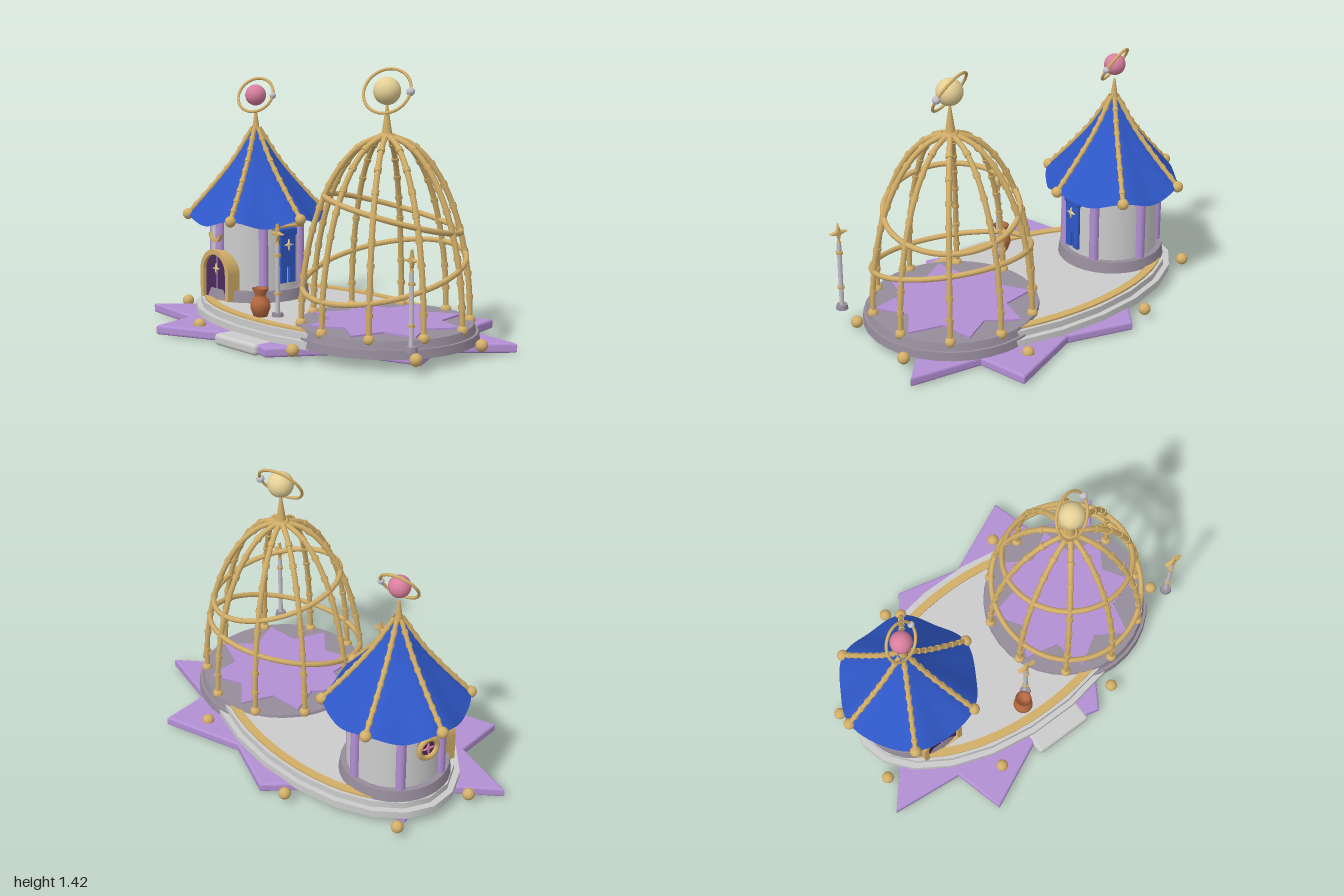
import * as THREE from 'three';
import { RoundedBoxGeometry } from 'three/addons/geometries/RoundedBoxGeometry.js';

const mat = (color) => new THREE.MeshStandardMaterial({ color, side: THREE.DoubleSide });
const M = {
  grey: mat(0xcccccc), stone: mat(0x968c9b), lilac: mat(0xb38fd4), gold: mat(0xd2ae68),
  cream: mat(0xe5d096), pink: mat(0xd97f9e), blue: mat(0x2f58c8), plum: mat(0x4b2b5c),
  clay: mat(0xb5683f), silver: mat(0xc4c0c8),
};
const V = (x, y, z) => new THREE.Vector3(x, y, z);

function add(parent, name, geo, material, x = 0, y = 0, z = 0) {
  const m = new THREE.Mesh(geo, material);
  m.name = name;
  m.position.set(x, y, z);
  parent.add(m);
  return m;
}
function group(parent, name, x = 0, y = 0, z = 0) {
  const g = new THREE.Group();
  g.name = name;
  g.position.set(x, y, z);
  parent.add(g);
  return g;
}
const ball = (r) => new THREE.SphereGeometry(r, 20, 14);
const cyl = (rt, rb, h, n = 32) => new THREE.CylinderGeometry(rt, rb, h, n);

// Star outline; the point at angle t is mapped by place(cos, sin)
function starShape(n, inner, place, turn = 0) {
  const pts = [];
  for (let i = 0; i < n * 2; i++) {
    const t = turn + (i * Math.PI) / n, r = i % 2 ? inner : 1;
    pts.push(new THREE.Vector2(...place(r * Math.cos(t), r * Math.sin(t))));
  }
  return new THREE.Shape(pts);
}
const plate = (shape, depth, bevel = 0) => new THREE.ExtrudeGeometry(shape, {
  depth: depth - 2 * bevel, bevelEnabled: bevel > 0, bevelSize: bevel, bevelThickness: bevel,
  bevelOffset: -bevel, bevelSegments: 3, curveSegments: 24,
}).translate(0, 0, bevel);
const sparkle = (r, depth) =>
  plate(starShape(4, 0.3, (c, s) => [c * r, s * r], 0), depth, depth * 0.3).translate(0, 0, -depth / 2);

// Bamboo-like rod: a tube with raised nodes along it
function rod(parent, name, curve, r, nodes) {
  const g = group(parent, name);
  add(g, 'cane', new THREE.TubeGeometry(curve, 28, r, 8), M.gold);
  for (let i = 1; i <= nodes; i++) {
    const t = i / (nodes + 1);
    const n = add(g, 'node', cyl(r * 1.3, r * 1.3, r * 1.6, 10), M.gold);
    n.position.copy(curve.getPointAt(t));
    n.quaternion.setFromUnitVectors(V(0, 1, 0), curve.getTangentAt(t));
  }
}

// Spire with an orb, a tilted orbit ring and a small moon
function finial(parent, spireY, spireH, orbY, orbR, ringR, orbMat, spireR) {
  const g = group(parent, 'finial');
  add(g, 'spire', cyl(0.005, spireR, spireH, 16), M.gold, 0, spireY + spireH / 2);
  add(g, 'orb', ball(orbR), orbMat, 0, orbY);
  const a = V(0.115, 0, -0.055).normalize();
  const b = V(-0.029, 0.108, -0.06).normalize();
  const ring = add(g, 'orbitRing', new THREE.TorusGeometry(ringR, 0.008, 8, 40), M.gold, 0, orbY);
  ring.quaternion.setFromRotationMatrix(new THREE.Matrix4().makeBasis(a, b, a.clone().cross(b)));
  add(g, 'moon', ball(orbR * 0.31), M.silver, a.x * ringR, orbY, a.z * ringR);
}

function buildBase(root) {
  const g = group(root, 'base', -0.012);
  // Skewed eight-pointed star spanned by two axes
  const star = starShape(8, 0.73, (c, s) => [0.988 * c - 0.243 * s, 0.405 * c + 0.61 * s]);
  add(g, 'starPlate', plate(star, 0.05, 0.012).rotateX(-Math.PI / 2), M.lilac, 0, 0.006);
  const tier = (name, a, b, y0, y1) => {
    const t = add(g, name, cyl(1, 1, y1 - y0, 22).rotateY(Math.PI / 2), M.grey, 0, (y0 + y1) / 2);
    t.scale.set(a, 1, b);
  };
  tier('lowerTier', 0.92, 0.515, 0.05, 0.09);
  tier('upperTier', 0.885, 0.485, 0.09, 0.125);
  const band = new THREE.Shape().absellipse(0, 0, 0.865, 0.465, 0, Math.PI * 2);
  band.holes.push(new THREE.Path().absellipse(0, 0, 0.815, 0.42, 0, Math.PI * 2));
  add(g, 'goldBand', plate(band, 0.014).rotateX(-Math.PI / 2), M.gold, 0, 0.121);
  add(g, 'frontStep', new RoundedBoxGeometry(0.335, 0.06, 0.2, 3, 0.02), M.grey, 0, 0.03, 0.515);
  for (let i = 0; i < 8; i++) {
    const t = ((i + 0.5) * Math.PI) / 4;
    add(g, 'bead', ball(0.032), M.gold, 0.99 * Math.cos(t), 0.06, 0.59 * Math.sin(t));
  }
}

function buildCage(root) {
  const g = group(root, 'cage', 0.45);
  add(g, 'floorLower', cyl(0.47, 0.475, 0.045), M.stone, 0, 0.078);
  add(g, 'floorUpper', cyl(0.445, 0.455, 0.04), M.stone, 0, 0.12);
  const star = starShape(8, 0.68, (c, s) => [0.41 * c, 0.41 * s], Math.PI / 8);
  add(g, 'floorStar', plate(star, 0.012).rotateX(-Math.PI / 2), M.lilac, 0, 0.137);

  const R = 0.43, y0 = 0.14, H = 0.94;
  for (let i = 0; i < 10; i++) {
    const t = Math.PI / 2 + (i * Math.PI) / 5, pts = [];
    for (let k = 0; k <= 8; k++) {
      const e = (k / 8) * 1.48, r = R * Math.cos(e);
      pts.push(V(r * Math.cos(t), y0 + H * Math.sin(e), r * Math.sin(t)));
    }
    rod(g, 'cageRib', new THREE.CatmullRomCurve3(pts), 0.0145, 8);
    add(g, 'ribFoot', ball(0.028), M.gold, pts[0].x, y0, pts[0].z);
  }
  // Tilted hoops that follow the dome
  const hoop = (y, sx, sz) => {
    const pts = [];
    for (let i = 0; i < 20; i++) {
      const t = (i * Math.PI) / 10;
      let r = 0.36, h = y;
      for (let k = 0; k < 12; k++) {
        h = y + r * (sx * Math.cos(t) + sz * Math.sin(t));
        r = R * Math.sqrt(1 - ((h - y0) / H) ** 2);
      }
      pts.push(V(r * Math.cos(t), h, r * Math.sin(t)));
    }
    add(g, 'cageHoop', new THREE.TubeGeometry(new THREE.CatmullRomCurve3(pts, true), 80, 0.0145, 8, true), M.gold);
  };
  hoop(0.7, -0.16, 0.21);
  hoop(0.405, 0, -0.26);
  add(g, 'crownHub', cyl(0.035, 0.055, 0.03, 20), M.gold, 0, 1.08);
  finial(g, 1.08, 0.16, 1.305, 0.07, 0.124, M.cream, 0.028);
}

const arch = (w, straight) => new THREE.Shape().moveTo(-w, 0).lineTo(w, 0).lineTo(w, straight)
  .absarc(0, straight, w, 0, Math.PI, false).lineTo(-w, 0);

function buildHouse(root) {
  const g = group(root, 'house', -0.595);
  add(g, 'footing', cyl(0.28, 0.29, 0.06), M.stone, 0, 0.155);
  add(g, 'wall', cyl(0.245, 0.25, 0.44), M.grey, 0, 0.39);
  for (let i = 0; i < 6; i++) {
    const t = Math.PI / 6 + (i * Math.PI) / 3;
    add(g, 'pillar', cyl(0.026, 0.026, 0.44, 14), M.lilac, 0.25 * Math.cos(t), 0.39, 0.25 * Math.sin(t));
  }
  // Roof cone, its hem sagging between the ribs
  const prof = [[0.375, 0.575], [0.23, 0.735], [0.12, 0.872], [0.02, 1.035]];
  const curve = new THREE.CatmullRomCurve3(prof.map(([r, y]) => V(r, y, 0)));
  const roof = new THREE.LatheGeometry(curve.getPoints(14).map((p) => new THREE.Vector2(p.x, p.y)), 72);
  const p = roof.attributes.position;
  for (let i = 0; i < p.count; i++) {
    const x = p.getX(i), z = p.getZ(i), r = Math.hypot(x, z), k = 1 - 0.05 * Math.sin(3 * Math.atan2(z, x)) ** 2;
    p.setXYZ(i, x * k, p.getY(i) - 0.04 * (r / 0.375) ** 2 * Math.sin(3 * Math.atan2(z, x)) ** 2, z * k);
  }
  roof.computeVertexNormals();
  add(g, 'roof', roof, M.blue);
  for (let i = 0; i < 6; i++) {
    const t = (i * Math.PI) / 3;
    const pts = prof.map(([r, y]) => V(r * Math.cos(t), y + 0.006, r * Math.sin(t)));
    rod(g, 'roofRib', new THREE.CatmullRomCurve3(pts), 0.0125, 8);
    add(g, 'eaveKnob', ball(0.03), M.gold, pts[0].x, 0.578, pts[0].z);
  }
  finial(g, 1.02, 0.12, 1.22, 0.057, 0.102, M.pink, 0.023);

  // Arched door with crescent above
  const frame = arch(0.122, 0.148);
  frame.holes.push(new THREE.Path(arch(0.095, 0.148).getPoints(24)));
  add(g, 'doorFrame', plate(frame, 0.09), M.gold, 0, 0.13, 0.205);
  add(g, 'door', plate(arch(0.098, 0.148), 0.07), M.plum, 0, 0.13, 0.205);
  add(g, 'doorStar', sparkle(0.03, 0.012), M.cream, 0, 0.295, 0.28);
  const moon = new THREE.Shape().absarc(0, 0, 0.05, Math.PI, Math.PI * 2, false)
    .quadraticCurveTo(0, -0.068, -0.05, 0);
  add(g, 'crescent', plate(moon, 0.02), M.gold, 0, 0.49, 0.272);

  // Hanging banner on the left wall
  const b = group(g, 'banner', 0.265, 0, 0);
  const box = (name, h, w, y, z, d = 0.02) => add(b, name, new RoundedBoxGeometry(d, h, w, 2, 0.006), M.blue, 0, y, z);
  box('bannerTop', 0.04, 0.12, 0.5, 0, 0.032);
  box('bannerBody', 0.18, 0.106, 0.4, 0);
  for (const s of [-1, 1]) {
    box('bannerTail', 0.1, 0.044, 0.272, s * 0.03);
    add(b, 'rodEnd', ball(0.014), M.gold, 0, 0.53, s * 0.095);
  }
  add(b, 'bannerRod', cyl(0.009, 0.009, 0.19, 10).rotateX(Math.PI / 2), M.gold, 0, 0.53);
  add(b, 'bannerStar', sparkle(0.032, 0.012).rotateY(Math.PI / 2), M.cream, 0.014, 0.43);

  // Round window on the right wall
  const w = group(g, 'roundWindow', -0.255, 0.415, 0);
  w.rotation.y = -Math.PI / 2;
  add(w, 'windowFrame', new THREE.TorusGeometry(0.055, 0.015, 10, 32), M.gold, 0, 0, 0.015);
  add(w, 'windowPane', cyl(0.055, 0.055, 0.02).rotateX(Math.PI / 2), M.plum, 0, 0, 0.003);
  add(w, 'windowStar', sparkle(0.035, 0.012), M.pink, 0, 0, 0.016);
}

function buildLamp(root, x, z) {
  const g = group(root, 'starLamp', x, 0, z);
  add(g, 'lampFoot', cyl(0.028, 0.032, 0.025, 18), M.stone, 0, 0.132);
  add(g, 'lampPole', cyl(0.012, 0.012, 0.36, 12), M.silver, 0, 0.32);
  for (const y of [0.245, 0.445]) add(g, 'lampCollar', cyl(0.018, 0.018, 0.014, 14), M.gold, 0, y);
  add(g, 'lampTip', cyl(0.004, 0.012, 0.03, 12), M.gold, 0, 0.512);
  add(g, 'lampStar', sparkle(0.053, 0.022), M.gold, 0, 0.557);
}

export function createModel() {
  const root = new THREE.Group();
  root.name = 'gardenPavilion';
  buildBase(root);
  buildCage(root);
  buildHouse(root);
  buildLamp(root, -0.047, 0.3);
  buildLamp(root, 0.945, 0.3);
  // Clay vase
  const vase = [[0, 0.125], [0.036, 0.125], [0.052, 0.17], [0.05, 0.2], [0.03, 0.228], [0.028, 0.24], [0.044, 0.272], [0.034, 0.272], [0.02, 0.24], [0, 0.235]];
  add(root, 'vase', new THREE.LatheGeometry(vase.map((q) => new THREE.Vector2(...q)), 24), M.clay, -0.11, 0, 0.363);
  return root;
}
